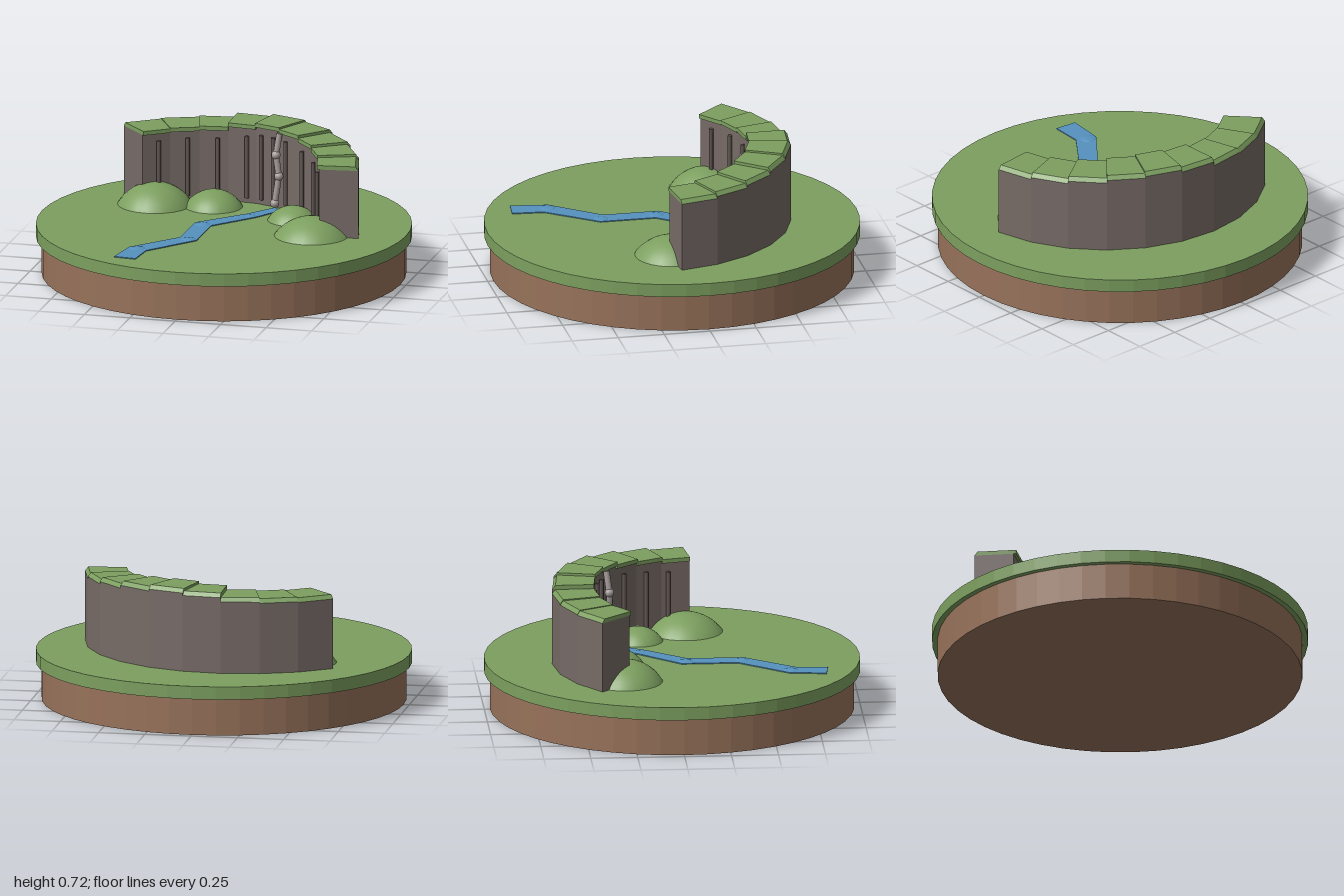
import * as THREE from 'three';

const mat = (name, color, side = THREE.FrontSide) => {
  const m = new THREE.MeshStandardMaterial({ color, side });
  m.name = name;
  return m;
};

// Cliff arc: centre and angles measured clockwise from the back (-z)
const CX = -0.08, CZ = 0.21, START = -43, STEP = 14;
const GROUND = 0.27;
const rad = THREE.MathUtils.degToRad;
const onArc = (deg, r, y) =>
  new THREE.Vector3(CX + r * Math.sin(rad(deg)), y, CZ - r * Math.cos(rad(deg)));

// Box bent into a wedge of the arc; inner and outer are [bottom, top] radii
function wedge(a0, a1, inner, outer, y0, y1) {
  const g = new THREE.BoxGeometry(1, 1, 1);
  const p = g.attributes.position;
  for (let i = 0; i < p.count; i++) {
    const top = p.getY(i) > 0 ? 1 : 0;
    const r = p.getZ(i) > 0 ? inner[top] : outer[top];
    const v = onArc(p.getX(i) > 0 ? a1 : a0, r, top ? y1 : y0);
    p.setXYZ(i, v.x, v.y, v.z);
  }
  g.computeVertexNormals();
  return g;
}

// Faceted disc standing on y0
function disc(r, y0, y1) {
  const g = new THREE.CylinderGeometry(r, r, y1 - y0, 48).toNonIndexed();
  g.computeVertexNormals();
  return g.translate(0, (y0 + y1) / 2, 0);
}

// Cylinder between two points
function rod(a, b, r, sides = 8) {
  const d = b.clone().sub(a);
  const g = new THREE.CylinderGeometry(r, r, d.length(), sides);
  g.applyQuaternion(new THREE.Quaternion().setFromUnitVectors(
    new THREE.Vector3(0, 1, 0), d.normalize()));
  const m = a.clone().add(b).multiplyScalar(0.5);
  return g.translate(m.x, m.y, m.z);
}

// Flat mitred strip along [x, z, halfWidth] points
function ribbon(path, y) {
  const left = [], right = [];
  path.forEach(([x, z, w], i) => {
    const at = (k) => new THREE.Vector2(path[k][0], path[k][1]);
    const a = at(Math.max(i - 1, 0)), b = at(i), c = at(Math.min(i + 1, path.length - 1));
    const d1 = b.clone().sub(a).normalize(), d2 = c.clone().sub(b).normalize();
    const d = d1.clone().add(d2).normalize();
    const k = w / Math.max(d.dot(d2.length() ? d2 : d1), 0.5);
    left.push(new THREE.Vector2(x - d.y * k, -(z + d.x * k)));
    right.unshift(new THREE.Vector2(x + d.y * k, -(z - d.x * k)));
  });
  const g = new THREE.ExtrudeGeometry(new THREE.Shape([...left, ...right]),
    { depth: 0.005, bevelEnabled: false });
  return g.rotateX(-Math.PI / 2).translate(0, y, 0);
}

export function createModel() {
  const grass = mat('grass green', 0x7c9f5f);
  const dirt = mat('earth brown', 0x97725a);
  const rock = mat('cliff grey', 0x766a66);
  const crack = mat('dark rock', 0x625753);
  const water = mat('stream blue', 0x5592be, THREE.DoubleSide);
  const foam = mat('waterfall grey', 0xa89f9d);

  const model = new THREE.Group();
  const group = (name) => {
    const g = new THREE.Group();
    g.name = name;
    model.add(g);
    return g;
  };
  const add = (parent, name, geometry, material) => {
    const m = new THREE.Mesh(geometry, material);
    m.name = name;
    parent.add(m);
    return m;
  };

  // Round island
  add(model, 'earthBase', disc(0.97, 0, 0.2), dirt);
  add(model, 'grassTop', disc(1, 0.2, GROUND), grass);

  // Curved cliff with stepped grass caps
  const cliff = group('cliff');
  [0.67, 0.674, 0.68, 0.703, 0.716, 0.706, 0.69, 0.676, 0.664].forEach((top, i) => {
    const a0 = START + i * STEP, a1 = a0 + STEP;
    add(cliff, 'cliffBlock', wedge(a0, a1, [0.645, 0.645], [0.855, 0.855], GROUND, top - 0.022), rock);
    add(cliff, 'cliffCap', wedge(a0, a1, [0.632, 0.632], [0.855, 0.838], top - 0.022, top), grass);
  });

  // Upright ribs on the inner face: [angle, top]
  const ribs = group('cliffRibs');
  [[-35, 0.61], [-20.6, 0.617], [-6, 0.617], [8.8, 0.64], [16.7, 0.655], [23.8, 0.655],
    [32, 0.65], [45.4, 0.63], [59.8, 0.61], [72, 0.595]].forEach(([a, top]) => {
    add(ribs, 'rib', rod(onArc(a, 0.627, 0.3), onArc(a, 0.627, top), 0.012, 6), crack);
  });

  // Waterfall: thin streams joined by foam balls
  const fall = group('waterfall');
  const drops = [[0.215, 0.69, -0.335], [0.2, 0.575, -0.32], [0.217, 0.46, -0.315], [0.197, 0.312, -0.305]]
    .map((p) => new THREE.Vector3(...p));
  drops.forEach((p, i) => {
    if (i === 0) return;
    add(fall, 'fallingWater', rod(drops[i - 1], p, 0.017), foam);
    add(fall, 'foamBall', new THREE.SphereGeometry(0.025, 12, 8).translate(p.x, p.y, p.z), foam);
  });

  // Stream and low ripples at its bends
  const stream = group('stream');
  add(stream, 'streamBed', ribbon([[0.21, -0.33, 0.032], [0.105, -0.17, 0.04], [-0.1, 0.06, 0.05],
    [-0.1, 0.36, 0.05], [-0.31, 0.62, 0.055], [-0.33, 0.805, 0.06]], GROUND), water);
  [[0.1, -0.165, 0.032], [-0.1, 0.065, 0.042], [-0.095, 0.365, 0.04], [-0.315, 0.61, 0.045]]
    .forEach(([x, z, r]) => {
      const m = add(stream, 'ripple', new THREE.SphereGeometry(r, 16, 8), water);
      m.scale.y = 0.22;
      m.position.set(x, GROUND + 0.002, z);
    });

  // Domed bushes: [x, z, radius at ground, height]
  const bushes = group('bushes');
  [[-0.455, -0.28, 0.2, 0.115], [-0.14, -0.31, 0.155, 0.09],
    [0.335, -0.16, 0.135, 0.075], [0.51, 0.105, 0.2, 0.1]].forEach(([x, z, r, h]) => {
    const R = (r * r + h * h) / (2 * h);
    const g = new THREE.SphereGeometry(R, 24, 10, 0, Math.PI * 2, 0, Math.acos((R - h) / R));
    add(bushes, 'bush', g, grass).position.set(x, GROUND + h - R, z);
  });

  return model;
}
